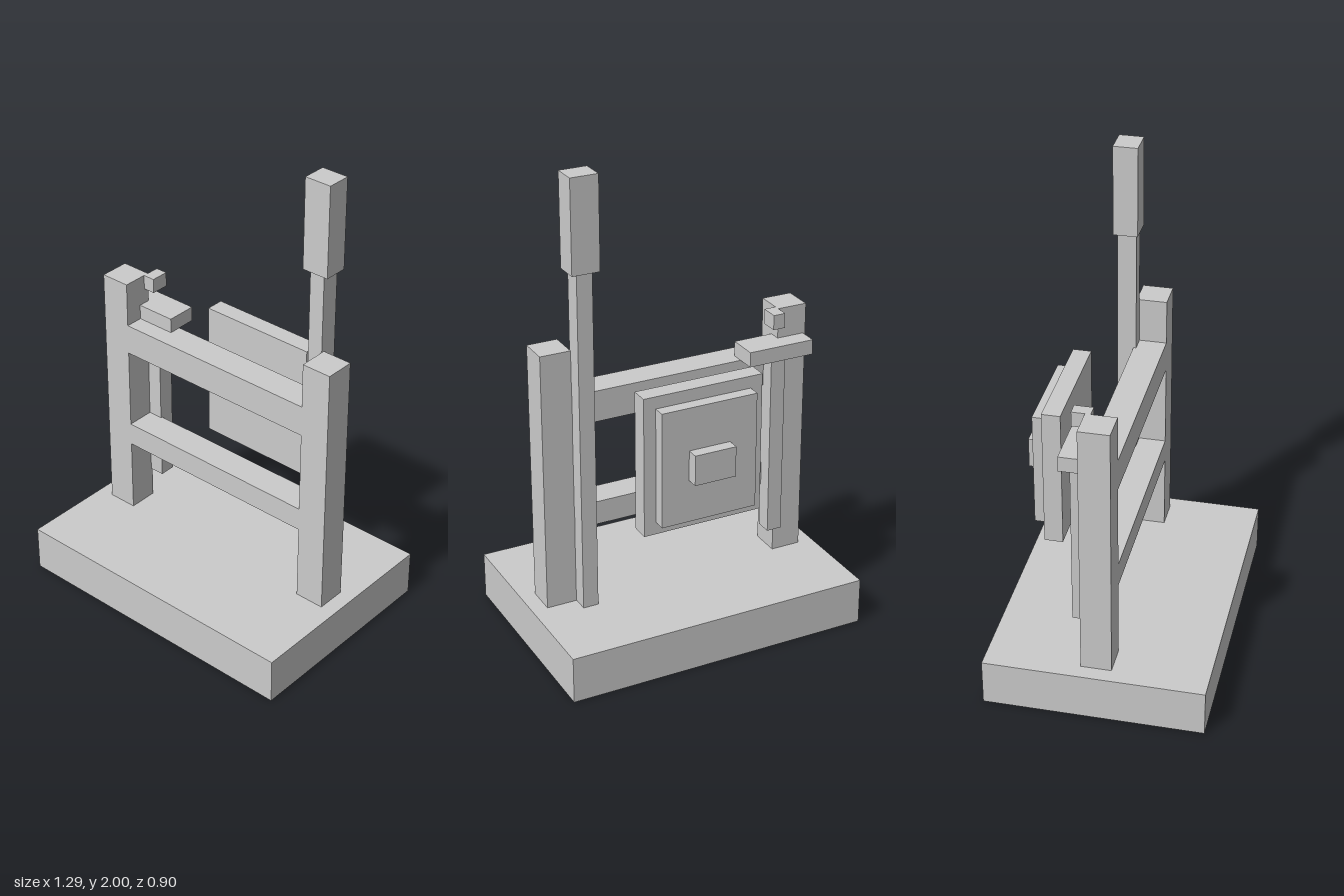
import * as THREE from 'three';

const material = new THREE.MeshStandardMaterial({ color: 0xcccccc, flatShading: true });

// Box given by its extents along each axis
function addBox(group, name, [x0, x1], [y0, y1], [z0, z1]) {
  const mesh = new THREE.Mesh(new THREE.BoxGeometry(x1 - x0, y1 - y0, z1 - z0), material);
  mesh.position.set((x0 + x1) / 2, (y0 + y1) / 2, (z0 + z1) / 2);
  mesh.name = name;
  group.add(mesh);
}

export function createModel() {
  const model = new THREE.Group();
  model.name = 'leverFrame';
  const frameDepth = [-0.0625, 0.0625];

  // Base slab
  addBox(model, 'base', [-0.645, 0.645], [0, 0.195], [-0.45, 0.45]);

  // Upright posts and the two rails between them
  addBox(model, 'rightPost', [-0.58, -0.453], [0.195, 1.29], frameDepth);
  addBox(model, 'leftPost', [0.453, 0.58], [0.195, 1.29], frameDepth);
  addBox(model, 'upperRail', [-0.453, 0.453], [0.97, 1.1], frameDepth);
  addBox(model, 'lowerRail', [-0.453, 0.453], [0.52, 0.62], frameDepth);

  // Tall lever with grip
  const lever = new THREE.Group();
  lever.name = 'lever';
  addBox(lever, 'leverRod', [0.387, 0.452], [0.195, 1.62], [-0.129, -0.051]);
  addBox(lever, 'leverGrip', [0.36, 0.475], [1.62, 2], [-0.14, -0.04]);
  model.add(lever);

  // Latch: hanging rod, crosswise block and small hook
  const latch = new THREE.Group();
  latch.name = 'latch';
  addBox(latch, 'latchRod', [-0.453, -0.39], [0.33, 1.1], [-0.125, -0.055]);
  addBox(latch, 'latchBlock', [-0.57, -0.285], [1.1, 1.163], [-0.14, -0.0125]);
  addBox(latch, 'latchHook', [-0.453, -0.402], [1.228, 1.29], [-0.116, -0.04]);
  model.add(latch);

  // Stepped panel behind the frame
  const panel = new THREE.Group();
  panel.name = 'steppedPanel';
  addBox(panel, 'panelPlate', [-0.257, 0.257], [0.547, 1.138], [-0.285, -0.209]);
  addBox(panel, 'panelInset', [-0.206, 0.206], [0.598, 1.087], [-0.337, -0.285]);
  addBox(panel, 'panelKnob', [-0.089, 0.089], [0.778, 0.906], [-0.387, -0.337]);
  model.add(panel);

  return model;
}
